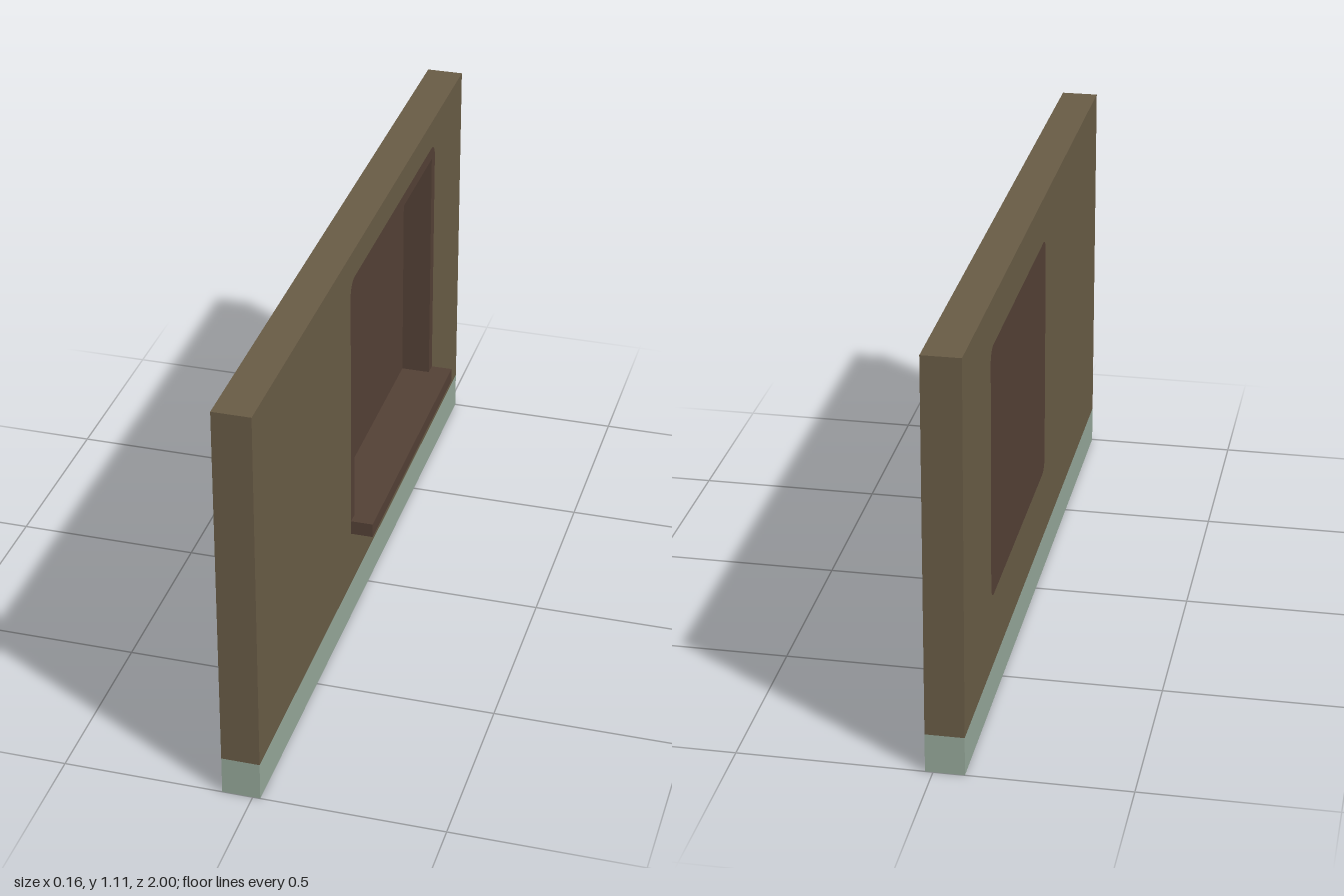
import * as THREE from 'three';

// Rounded rectangle outline; u runs along -z, v runs up.
function outline(Type, u0, u1, v0, v1, r = 0) {
  const s = new Type();
  if (r === 0) {
    s.moveTo(u0, v0).lineTo(u1, v0).lineTo(u1, v1).lineTo(u0, v1).closePath();
    return s;
  }
  s.absarc(u1 - r, v0 + r, r, -Math.PI / 2, 0);
  s.absarc(u1 - r, v1 - r, r, 0, Math.PI / 2);
  s.absarc(u0 + r, v1 - r, r, Math.PI / 2, Math.PI);
  s.absarc(u0 + r, v0 + r, r, Math.PI, Math.PI * 1.5);
  s.closePath();
  return s;
}

export function createModel() {
  const group = new THREE.Group();
  const material = (name, color) => new THREE.MeshStandardMaterial({ name, color });
  const plaster = material('olive plaster', 0x685b45);
  const wood = material('dark wood', 0x534035);
  const plinth = material('pale green base', 0x94a698);

  const FACE = 0.02, BACK = -0.08, RECESS = -0.06, SPLIT = -0.07;

  function add(name, geometry, mat) {
    const mesh = new THREE.Mesh(geometry, mat);
    mesh.name = name;
    group.add(mesh);
    return mesh;
  }

  // Slab cut from an outline, spanning x0 to x1
  function slab(name, mat, x0, x1, rect, hole) {
    const shape = outline(THREE.Shape, ...rect);
    if (hole) shape.holes.push(outline(THREE.Path, ...hole));
    const geometry = new THREE.ExtrudeGeometry(shape, {
      depth: x1 - x0, bevelEnabled: false, curveSegments: 6,
    });
    geometry.rotateY(Math.PI / 2).translate(x0, 0, 0);
    return add(name, geometry, mat);
  }

  function box(name, mat, x0, x1, y0, y1, z0, z1) {
    const mesh = add(name, new THREE.BoxGeometry(x1 - x0, y1 - y0, z1 - z0), mat);
    mesh.position.set((x0 + x1) / 2, (y0 + y1) / 2, (z0 + z1) / 2);
  }

  const wall = [-1, 1, 0.105, 1.11];
  const frame = [-0.17, 0.695, 0.268, 1.03, 0.04];
  const opening = [-0.135, 0.66, 0.305, 0.995];
  const rear = [-0.13, 0.652, 0.303, 0.985, 0.035];

  // Wall in two layers, each cut out for its wooden inlay
  slab('wallFace', plaster, SPLIT, FACE, wall, frame);
  slab('wallBack', plaster, BACK, SPLIT, wall, rear);

  // Flush frame, recessed window panel and flush rear panel
  slab('windowFrame', wood, RECESS, FACE, frame, opening);
  slab('windowPanel', wood, SPLIT, RECESS, frame);
  slab('rearPanel', wood, BACK, SPLIT, rear);

  // Projecting sill and painted base course
  box('windowSill', wood, FACE, 0.08, 0.265, 0.305, -0.695, 0.17);
  box('wallBase', plinth, BACK, FACE, 0, 0.105, -1, 1);

  return group;
}
